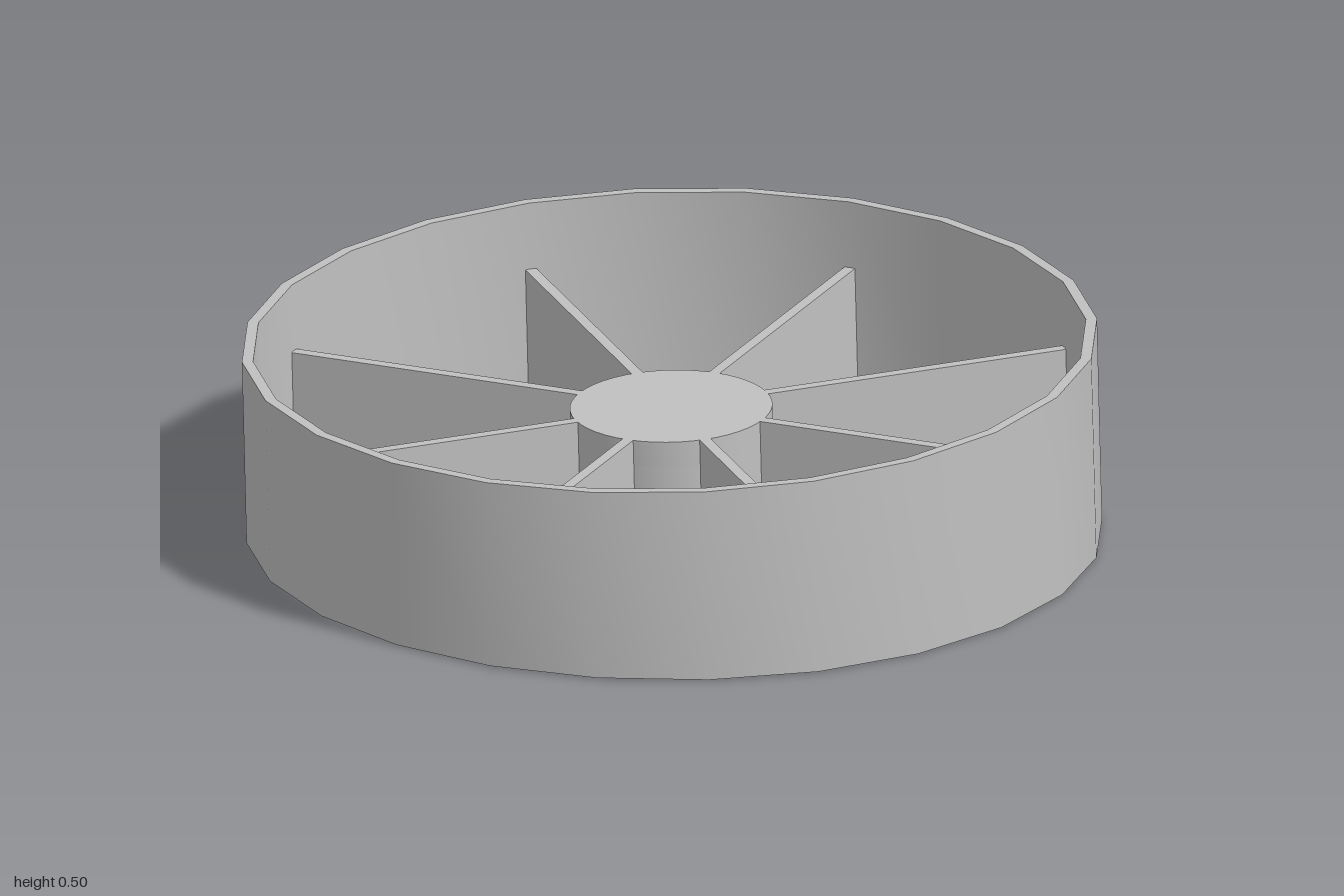
import * as THREE from 'three';
import { toCreasedNormals } from 'three/addons/utils/BufferGeometryUtils.js';

const TILT = 0.025;      // slope of the top faces and lean of the axis
const SPOKE_TOP = 0.312; // height of spokes and hub at the centre
const RING_TOP = 0.475;
const FOOT = 0.003;      // the hub stands slightly lower than the rest

// Points of a regular polygon
function polygon(radius, sides, start = 0) {
  return Array.from({ length: sides }, (_, i) => {
    const a = start + (i / sides) * Math.PI * 2;
    return new THREE.Vector2(radius * Math.cos(a), radius * Math.sin(a));
  });
}

// Upright prism between two heights, with an optional hole
function prism(outline, hole, y0, y1) {
  const shape = new THREE.Shape(outline);
  if (hole) shape.holes.push(new THREE.Path(hole));
  const geo = new THREE.ExtrudeGeometry(shape, { depth: y1 - y0, bevelEnabled: false });
  return geo.rotateX(-Math.PI / 2).translate(0, y0, 0);
}

// Slope the top, keep the bottom flat, and lean the axis towards -x
function lean(geo, top) {
  const p = geo.attributes.position;
  for (let i = 0; i < p.count; i++) {
    const x = p.getX(i);
    const y = p.getY(i) * (1 + (TILT * x) / top);
    p.setXYZ(i, x + 0.006 - TILT * y, y, p.getZ(i));
  }
  return toCreasedNormals(geo, 0.5);
}

export function createModel() {
  const model = new THREE.Group();
  model.name = 'wheel';
  const grey = new THREE.MeshStandardMaterial({ color: 0xc0c0c0 });
  grey.name = 'grey';

  function add(name, geo, top, parent = model) {
    const mesh = new THREE.Mesh(lean(geo, top), grey);
    mesh.name = name;
    parent.add(mesh);
  }

  // Outer rim
  add('rim', prism(polygon(0.994, 24), polygon(0.968, 24), FOOT, RING_TOP), RING_TOP);

  // Hub with a blind square socket underneath
  const hub = new THREE.Group();
  hub.name = 'hub';
  model.add(hub);
  const circle = polygon(0.235, 48);
  const socket = polygon(0.136 * Math.SQRT1_2, 4, Math.PI / 4);
  add('hubSocket', prism(circle, socket, 0, 0.25), SPOKE_TOP, hub);
  add('hubCap', prism(circle, null, 0.25, SPOKE_TOP), SPOKE_TOP, hub);

  // Eight flat spokes from hub to rim
  const spokes = new THREE.Group();
  spokes.name = 'spokes';
  model.add(spokes);
  const inner = 0.225, outer = 0.972, height = SPOKE_TOP - FOOT;
  for (let i = 0; i < 8; i++) {
    const geo = new THREE.BoxGeometry(outer - inner, height, 0.027);
    geo.translate((inner + outer) / 2, FOOT + height / 2, 0);
    geo.rotateY((i * Math.PI) / 4);
    add('spoke', geo, SPOKE_TOP, spokes);
  }

  return model;
}
